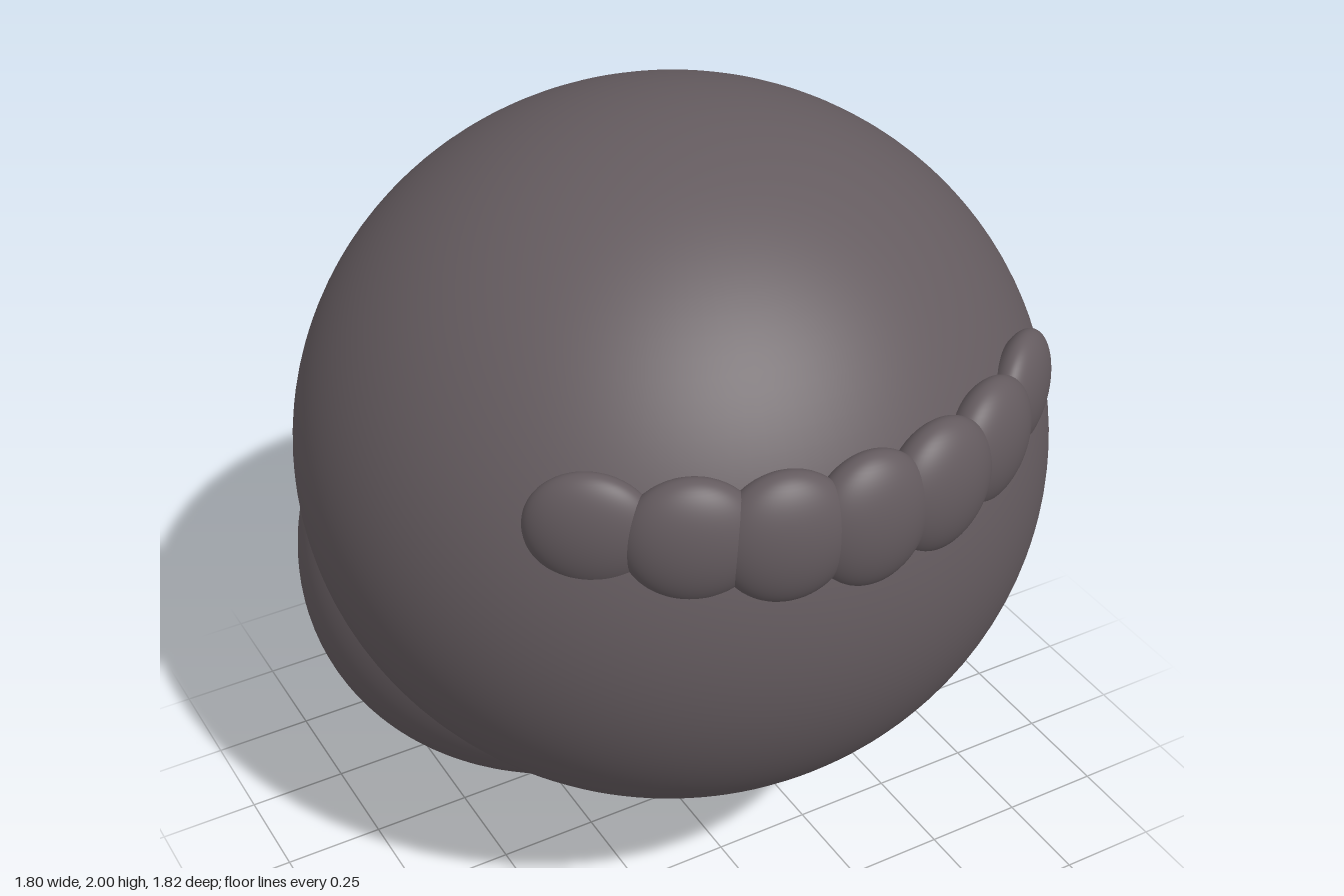
import * as THREE from 'three';

export function createModel() {
  const group = new THREE.Group();
  const charcoal = new THREE.MeshStandardMaterial({ color: 0x645b5f });
  charcoal.name = 'charcoal';

  // Smooth ellipsoid with given centre, radii and turn about the vertical axis
  function ellipsoid(name, centre, radii, turn = 0, detail = 32) {
    const mesh = new THREE.Mesh(new THREE.SphereGeometry(1, detail * 2, detail), charcoal);
    mesh.name = name;
    mesh.position.set(...centre);
    mesh.scale.set(...radii);
    mesh.rotation.y = turn;
    group.add(mesh);
  }

  // Main ball and the lower rear lobe
  ellipsoid('head', [0, 1.145, -0.012], [0.902, 0.855, 0.893], 0, 64);
  ellipsoid('rearLobe', [0, 0.746, -0.33], [0.838, 0.746, 0.573], 0, 64);

  // Row of seven flattened bumps wrapped around the front
  ellipsoid('browBumpCentre', [0, 1.42, 0.83], [0.145, 0.165, 0.08]);
  const bumps = [
    { centre: [0.19, 1.425, 0.805], radii: [0.15, 0.16, 0.08], turn: 0.23 },
    { centre: [0.37, 1.435, 0.732], radii: [0.15, 0.15, 0.075], turn: 0.45 },
    { centre: [0.542, 1.447, 0.612], radii: [0.145, 0.138, 0.062], turn: 0.65 },
  ];
  bumps.forEach(({ centre: [x, y, z], radii, turn }, i) => {
    for (const side of [1, -1]) {
      const label = side > 0 ? 'Left' : 'Right';
      ellipsoid(`browBump${label}${i + 1}`, [side * x, y, z], radii, side * turn);
    }
  });

  return group;
}
